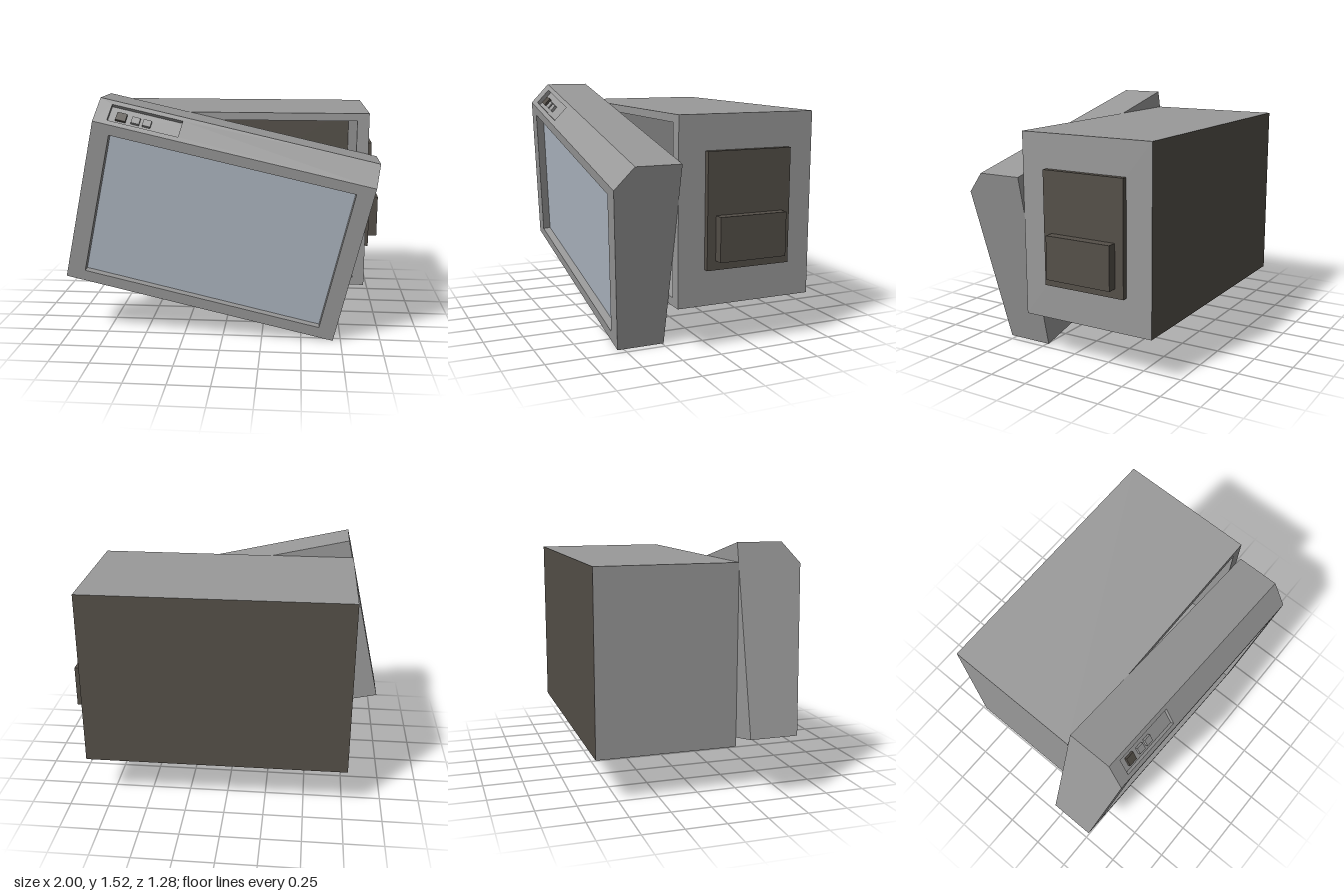
import * as THREE from 'three';

const mat = (name, color) => {
  const m = new THREE.MeshStandardMaterial({ color });
  m.name = name;
  return m;
};

export function createModel() {
  const grey = mat('casing grey', 0x999999);
  const dark = mat('dark brown grey', 0x544f48);
  const glass = mat('pale blue glass', 0xb0b9c4);
  const model = new THREE.Group();

  const add = (parent, name, geometry, material, x = 0, y = 0, z = 0) => {
    const mesh = new THREE.Mesh(geometry, material);
    mesh.name = name;
    mesh.position.set(x, y, z);
    parent.add(mesh);
    return mesh;
  };

  // Open-fronted, inward-facing box; its floor uses the second material.
  const recessGeometry = (w, h, d) => {
    const g = new THREE.BoxGeometry(w, h, d);
    g.scale(-1, 1, 1);
    g.computeVertexNormals();
    const index = Array.from(g.index.array);
    index.splice(24, 6);
    g.setIndex(index);
    g.clearGroups();
    g.addGroup(0, 24, 0);
    g.addGroup(24, 6, 1);
    return g;
  };

  // Flat panel rising from its bottom edge, optionally with a sunken rectangle.
  const panel = (name, w, h, { material = grey, hole } = {}) => {
    const group = new THREE.Group();
    group.name = name;
    const rect = (Type, x0, x1, y0, y1) => new Type([
      new THREE.Vector2(x0, y0), new THREE.Vector2(x1, y0),
      new THREE.Vector2(x1, y1), new THREE.Vector2(x0, y1),
    ]);
    const shape = rect(THREE.Shape, -w / 2, w / 2, 0, h);
    if (hole) {
      const { x0, x1, y0, y1, depth, floor } = hole;
      shape.holes.push(rect(THREE.Path, x0, x1, y0, y1));
      add(group, name + ' recess', recessGeometry(x1 - x0, y1 - y0, depth),
        [grey, floor], (x0 + x1) / 2, (y0 + y1) / 2, -depth / 2);
    }
    add(group, name + ' surface', new THREE.ShapeGeometry(shape), material);
    return group;
  };

  // Prism along x from a [z, y] profile; each edge becomes a named panel.
  const prism = (name, width, profile, faces) => {
    const group = new THREE.Group();
    group.name = name;
    profile.forEach(([z, y], i) => {
      const [z2, y2] = profile[(i + 1) % profile.length];
      const p = panel(faces[i].name, width, Math.hypot(z2 - z, y2 - y), faces[i]);
      p.position.set(0, y, z);
      p.rotation.x = Math.atan2(z2 - z, y2 - y);
      group.add(p);
    });
    for (const s of [-1, 1]) {
      const outline = new THREE.Shape(profile.map(([z, y]) => new THREE.Vector2(-s * z, y)));
      const cap = add(group, s > 0 ? 'left end' : 'right end',
        new THREE.ShapeGeometry(outline), grey, s * width / 2);
      cap.rotation.y = s * Math.PI / 2;
    }
    model.add(group);
    return group;
  };

  // Hollow upright case with a dark back
  const body = prism('case', 1.68,
    [[-0.64, 0.28], [0.24, 0.28], [0.24, 1.41], [-0.64, 1.41]],
    [
      { name: 'case bottom' },
      { name: 'case front', hole: { x0: -0.765, x1: 0.765, y0: 0.05, y1: 1.082, depth: 0.87, floor: dark } },
      { name: 'case top' },
      { name: 'case back', material: dark },
    ]);
  body.position.x = 0.065;

  // Stepped block on the left side of the case
  add(model, 'side plate', new THREE.BoxGeometry(0.035, 0.7, 0.545), dark, 0.9225, 0.85, -0.2025);
  add(model, 'side block', new THREE.BoxGeometry(0.06, 0.268, 0.435), dark, 0.97, 0.691, -0.2025);

  // Tilted front housing with a sunken screen and control tray
  const front = prism('front housing', 1.743,
    [[0.24, -0.583], [0.54, -0.583], [0.64, 0.449], [0.525, 0.582], [0.24, 0.582]],
    [
      { name: 'housing bottom' },
      { name: 'screen bezel', hole: { x0: -0.76, x1: 0.765, y0: 0.067, y1: 0.974, depth: 0.05, floor: glass } },
      { name: 'control slope', hole: { x0: -0.79, x1: -0.35, y0: 0.03, y1: 0.147, depth: 0.026, floor: grey } },
      { name: 'housing top' },
      { name: 'housing back' },
    ]);
  front.position.set(-0.02, 0.765, 0);
  front.rotation.z = THREE.MathUtils.degToRad(-12.8);

  // Buttons in the control tray
  const slope = front.getObjectByName('control slope');
  add(slope, 'dark button', new THREE.BoxGeometry(0.062, 0.055, 0.018), dark, -0.715, 0.082, -0.017);
  for (const x of [-0.625, -0.555]) {
    add(slope, 'grey button', new THREE.BoxGeometry(0.05, 0.045, 0.018), grey, x, 0.08, -0.017);
  }

  return model;
}
